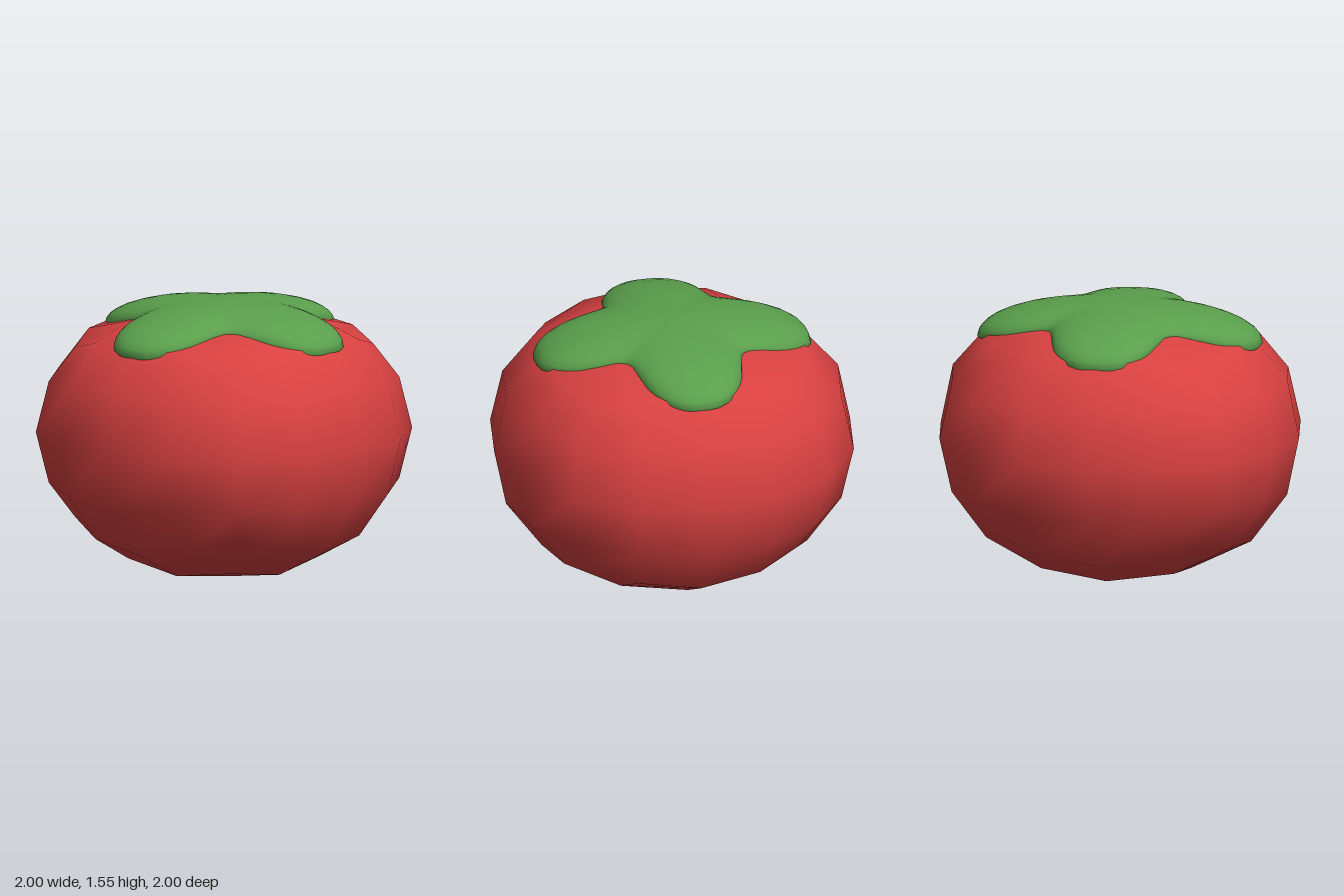
import * as THREE from 'three';
import { mergeVertices } from 'three/addons/utils/BufferGeometryUtils.js';

const red = new THREE.MeshStandardMaterial({ color: 0xd94141 });
red.name = 'tomato red';
const green = new THREE.MeshStandardMaterial({ color: 0x5a9f4c });
green.name = 'leaf green';

// Fruit: a 4x4x4 box rounded like a twice-subdivided cube, then squashed
function fruitGeometry() {
  // coordinate sizes, by how many coordinates are 1 and how many are 0.5
  const rounding = {
    '1,0': { 1: 1 },
    '1,1': { 1: 0.933, 0.5: 0.399 },
    '1,2': { 1: 0.87, 0.5: 0.371 },
    '2,0': { 1: 0.732 },
    '2,1': { 1: 0.682, 0.5: 0.344 },
    '3,0': { 1: 0.58 },
  };
  let geo = new THREE.BoxGeometry(2, 2, 2, 4, 4, 4);
  geo.deleteAttribute('normal');
  geo.deleteAttribute('uv');
  geo.clearGroups();
  geo = mergeVertices(geo);
  const pos = geo.attributes.position;
  for (let i = 0; i < pos.count; i++) {
    const p = [pos.getX(i), pos.getY(i), pos.getZ(i)];
    const count = (v) => p.filter((c) => Math.abs(c) === v).length;
    const sizes = rounding[`${count(1)},${count(0.5)}`];
    const [x, y, z] = p.map((c) => Math.sign(c) * (sizes[Math.abs(c)] ?? 0));
    const flat = y > 0.5 ? y - 0.9 * (y - 0.5) ** 2 : y; // flattened crown
    pos.setXYZ(i, x, 0.818 + 0.818 * flat, z);
  }
  geo.computeVertexNormals();
  return geo;
}

// Leaf: rings of a four-petal outline, domed on top and tucked in below
function leafGeometry() {
  const quarter = [[0.77, 0], [0.76, 0.1], [0.7, 0.19], [0.58, 0.265], [0.4, 0.312],
    [0.33, 0.34], [0.3, 0.42], [0.265, 0.58], [0.2, 0.7], [0.1, 0.775], [0, 0.79]];
  const back = quarter.slice(0, -1).reverse().map(([x, z]) => [-x, z]);
  const half = [...quarter, ...back];
  const outline = [...half, ...half.slice(1, -1).reverse().map(([x, z]) => [x, -z])];
  const curve = new THREE.CatmullRomCurve3(
    outline.map(([x, z]) => new THREE.Vector3(x, 0, z)), true, 'centripetal');
  const n = 80;
  const rim = Array.from({ length: n }, (_, i) => curve.getPoint(i / n));
  const rimY = (p) => 1.425 - 0.3 * (Math.hypot(p.x, p.z) - 0.47);

  const verts = [0, 1.55, 0];
  const index = [];
  const scales = [0.15, 0.3, 0.45, 0.6, 0.72, 0.82, 0.9, 0.95, 0.985, 1];
  for (const s of scales) {
    for (const p of rim) {
      const e = rimY(p);
      verts.push(p.x * s, e + (1.55 - e) * Math.sqrt(1 - s ** 2.2), p.z * s);
    }
  }
  for (const p of rim) verts.push(p.x * 0.97, rimY(p) - 0.022, p.z * 0.97);
  const last = verts.length / 3;
  verts.push(0, 1.36, 0);

  for (let i = 0; i < n; i++) {
    const j = (i + 1) % n;
    index.push(0, 1 + j, 1 + i);
    for (let r = 0; r < scales.length; r++) {
      const a = 1 + r * n, b = a + n;
      index.push(a + i, a + j, b + j, a + i, b + j, b + i);
    }
    const lip = 1 + scales.length * n;
    index.push(last, lip + i, lip + j);
  }
  const geo = new THREE.BufferGeometry();
  geo.setAttribute('position', new THREE.Float32BufferAttribute(verts, 3));
  geo.setIndex(index);
  geo.computeVertexNormals();
  return geo;
}

export function createModel() {
  const group = new THREE.Group();
  group.name = 'tomato';
  const fruit = new THREE.Mesh(fruitGeometry(), red);
  fruit.name = 'fruit';
  const leaf = new THREE.Mesh(leafGeometry(), green);
  leaf.name = 'leafCap';
  group.add(fruit, leaf);
  return group;
}
